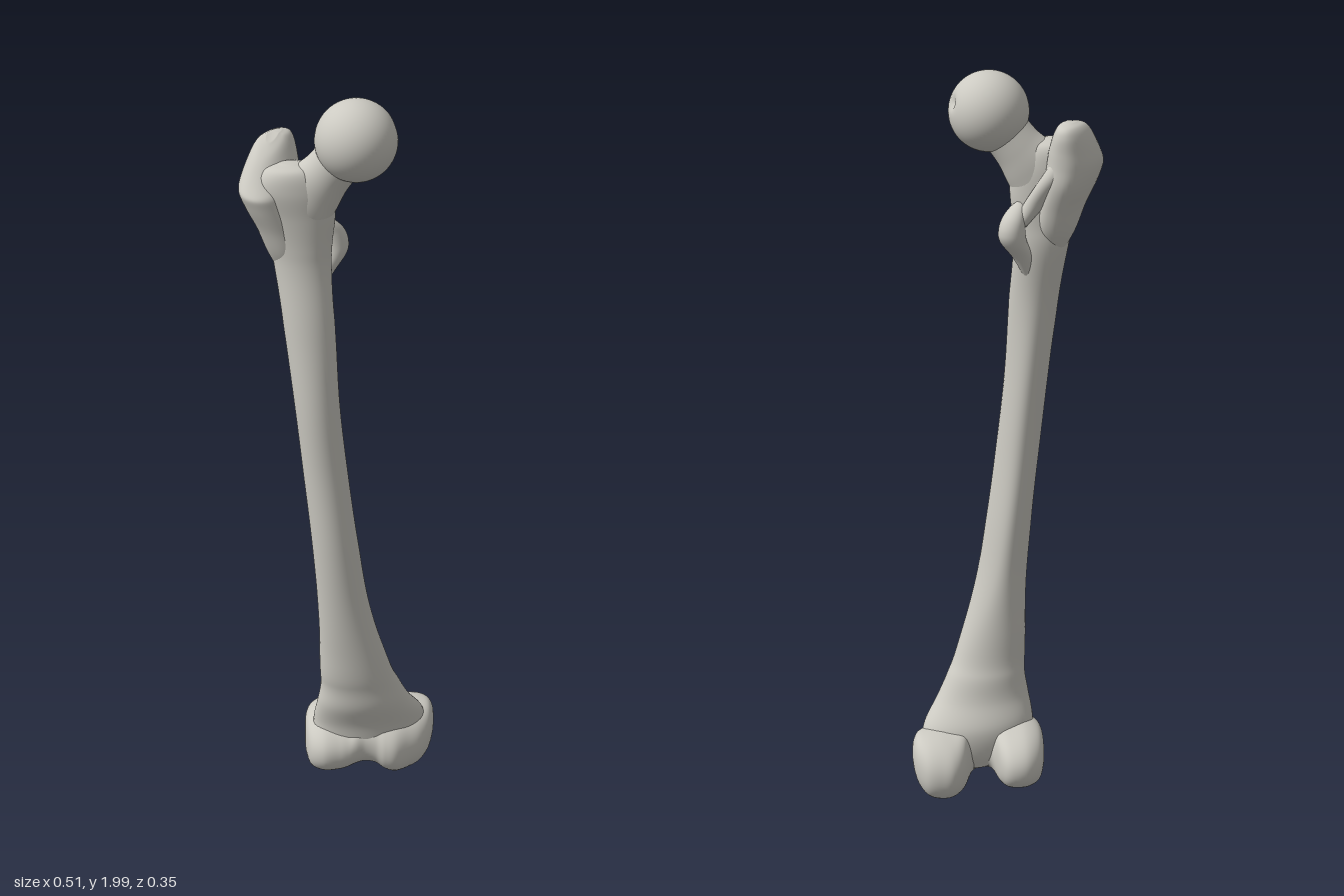
import * as THREE from 'three';

const bone = new THREE.MeshStandardMaterial({ color: 0xcccac2 });
bone.name = 'bone';

// Closed smooth skin over elliptical sections.
// Each station is [x, y, z, half width along U, half width along V].
function loft(name, stations, U, V, { power = 1, warp, rings = 8, sides = 48 } = {}) {
  const spline = (pts) => new THREE.CatmullRomCurve3(pts, false, 'catmullrom', 0.5);
  const path = spline(stations.map((s) => new THREE.Vector3(s[0], s[1], s[2])));
  const size = spline(stations.map((s) => new THREE.Vector3(s[3], s[4], 0)));
  const round = (v) => Math.sign(v) * Math.abs(v) ** power;
  const n = (stations.length - 1) * rings;
  const positions = [];
  const index = [];
  const add = (p) => {
    if (warp) warp(p);
    positions.push(p.x, p.y, p.z);
  };
  for (let i = 0; i <= n; i++) {
    const c = path.getPoint(i / n);
    const r = size.getPoint(i / n);
    for (let j = 0; j < sides; j++) {
      const t = (j / sides) * Math.PI * 2;
      add(c.clone()
        .addScaledVector(U, round(Math.cos(t)) * Math.max(r.x, 0.001))
        .addScaledVector(V, round(Math.sin(t)) * Math.max(r.y, 0.001)));
    }
  }
  add(path.getPoint(0));
  add(path.getPoint(1));

  // Keep faces outward whichever way the path runs
  const travel = path.getPoint(1).sub(path.getPoint(0));
  const flip = U.clone().cross(V).dot(travel) < 0;
  const tri = (a, b, c) => (flip ? index.push(a, c, b) : index.push(a, b, c));
  const first = (n + 1) * sides;
  for (let j = 0; j < sides; j++) {
    const k = (j + 1) % sides;
    for (let i = 0; i < n; i++) {
      const a = i * sides;
      const b = a + sides;
      tri(a + j, a + k, b + k);
      tri(a + j, b + k, b + j);
    }
    tri(first, k, j);
    tri(first + 1, n * sides + j, n * sides + k);
  }
  const geometry = new THREE.BufferGeometry();
  geometry.setAttribute('position', new THREE.Float32BufferAttribute(positions, 3));
  geometry.setIndex(index);
  geometry.computeVertexNormals();
  return named(name, geometry);
}

function named(name, geometry) {
  const mesh = new THREE.Mesh(geometry, bone);
  mesh.name = name;
  return mesh;
}

export function createModel() {
  const model = new THREE.Group();
  model.name = 'thighBone';
  const X = new THREE.Vector3(1, 0, 0);
  const Y = new THREE.Vector3(0, 1, 0);
  const Z = new THREE.Vector3(0, 0, 1);

  // Shaft: bowed forward, flared at both ends, with a narrower back ridge
  model.add(loft('shaft', [
    [0.07, 0.08, -0.01, 0.08, 0.05],
    [0.07, 0.13, -0.01, 0.15, 0.07],
    [0.07, 0.2, -0.005, 0.153, 0.075],
    [0.055, 0.27, 0.022, 0.127, 0.07],
    [0.045, 0.33, 0.033, 0.108, 0.066],
    [0.03, 0.4, 0.047, 0.095, 0.063],
    [0, 0.6, 0.063, 0.07, 0.063],
    [-0.024, 0.8, 0.072, 0.061, 0.066],
    [-0.047, 1, 0.077, 0.058, 0.061],
    [-0.068, 1.2, 0.077, 0.058, 0.061],
    [-0.085, 1.4, 0.065, 0.065, 0.055],
    [-0.1, 1.55, 0.045, 0.071, 0.055],
    [-0.105, 1.62, 0.043, 0.077, 0.054],
    [-0.112, 1.7, 0.043, 0.092, 0.057],
    [-0.125, 1.77, 0.045, 0.1, 0.06],
    [-0.13, 1.82, 0.045, 0.07, 0.05],
    [-0.13, 1.835, 0.045, 0.02, 0.015],
  ], X, Z, {
    warp: (p) => {
      // Twist of the lower flare, inner side set back
      p.z -= 0.22 * (p.x - 0.06) * Math.max(0, 1 - p.y / 0.45);
      // Pinch the back into a ridge along the middle of the shaft
      const mid = THREE.MathUtils.smoothstep(p.y, 0.4, 0.7) * (1 - THREE.MathUtils.smoothstep(p.y, 1.3, 1.6));
      const axis = 0.062 - 0.108 * p.y;
      const back = THREE.MathUtils.clamp((0.07 - p.z) / 0.06, 0, 1);
      p.x -= (p.x - axis) * 0.25 * mid * back;
    },
  }));

  // Knee end: two rounded condyles with a notch and front groove between
  model.add(loft('condyles', [
    [-0.109, 0.12, -0.03, 0.015, 0.015],
    [-0.105, 0.12, -0.03, 0.06, 0.05],
    [-0.09, 0.115, -0.03, 0.105, 0.075],
    [-0.055, 0.115, -0.033, 0.13, 0.087],
    [-0.01, 0.115, -0.035, 0.128, 0.085],
    [0.015, 0.118, -0.025, 0.112, 0.078],
    [0.035, 0.125, 0, 0.08, 0.07],
    [0.06, 0.128, 0, 0.07, 0.07],
    [0.09, 0.125, -0.005, 0.075, 0.075],
    [0.115, 0.115, -0.03, 0.11, 0.09],
    [0.145, 0.108, -0.045, 0.125, 0.097],
    [0.18, 0.108, -0.058, 0.116, 0.098],
    [0.215, 0.113, -0.066, 0.1, 0.09],
    [0.24, 0.125, -0.068, 0.07, 0.07],
    [0.252, 0.135, -0.07, 0.038, 0.04],
    [0.256, 0.14, -0.07, 0.01, 0.01],
  ], Z, Y, { power: 0.95 }));

  // Neck rising inward from the top of the shaft
  model.add(loft('neck', [
    [-0.13, 1.66, 0.043, 0.03, 0.04],
    [-0.11, 1.71, 0.045, 0.052, 0.08],
    [-0.075, 1.765, 0.047, 0.055, 0.076],
    [-0.04, 1.81, 0.053, 0.055, 0.064],
    [-0.005, 1.855, 0.062, 0.058, 0.063],
    [0.02, 1.885, 0.068, 0.066, 0.07],
    [0.03, 1.9, 0.07, 0.05, 0.05],
  ], Z, new THREE.Vector3(-0.76, 0.65, 0)));

  // Ball head with a small pit on its inner side
  const head = new THREE.SphereGeometry(0.1015, 64, 48);
  const pit = new THREE.Vector3(0.93, 0.28, -0.22).normalize();
  const v = new THREE.Vector3();
  for (let i = 0; i < head.attributes.position.count; i++) {
    v.fromBufferAttribute(head.attributes.position, i);
    const angle = v.angleTo(pit);
    v.multiplyScalar(1 - 0.11 * Math.exp(-((angle / 0.16) ** 2)));
    head.attributes.position.setXYZ(i, v.x, v.y, v.z);
  }
  head.computeVertexNormals();
  const ball = named('head', head);
  ball.position.set(0.03, 1.8985, 0.07);
  model.add(ball);

  // Greater trochanter: a broad ridge set diagonally, lower at the front
  model.add(loft('greaterTrochanter', [
    [-0.13, 1.53, 0.035, 0.015, 0.02],
    [-0.137, 1.6, 0.03, 0.055, 0.048],
    [-0.153, 1.67, 0.022, 0.078, 0.055],
    [-0.172, 1.73, 0.016, 0.097, 0.061],
    [-0.182, 1.78, 0.014, 0.102, 0.064],
    [-0.181, 1.82, 0.008, 0.098, 0.058],
    [-0.176, 1.86, -0.005, 0.085, 0.044],
    [-0.172, 1.883, -0.012, 0.066, 0.03],
    [-0.17, 1.892, -0.015, 0.03, 0.012],
  ], new THREE.Vector3(-0.45, 0, 0.89), new THREE.Vector3(-0.89, 0, -0.45), {
    power: 0.92,
    warp: (p) => {
      const top = THREE.MathUtils.smoothstep(p.y, 1.72, 1.89);
      p.y -= 0.7 * top * Math.max(0, p.z + 0.01);
    },
  }));

  // Lesser trochanter: small knob low on the inner back, fading downward
  model.add(loft('lesserTrochanter', [
    [-0.065, 1.48, 0.02, 0.01, 0.01],
    [-0.05, 1.535, 0.01, 0.026, 0.025],
    [-0.026, 1.58, -0.005, 0.034, 0.034],
    [-0.021, 1.61, -0.009, 0.034, 0.035],
    [-0.026, 1.64, -0.005, 0.03, 0.031],
    [-0.036, 1.665, 0.005, 0.02, 0.022],
    [-0.042, 1.68, 0.012, 0.006, 0.006],
  ], X, Z));

  // Crest joining the two trochanters across the back
  model.add(loft('trochantericCrest', [
    [-0.14, 1.8, -0.045, 0.02, 0.02],
    [-0.12, 1.75, -0.035, 0.03, 0.028],
    [-0.08, 1.68, -0.008, 0.028, 0.025],
    [-0.04, 1.62, 0.0, 0.02, 0.02],
  ], X, Z));

  return model;
}
